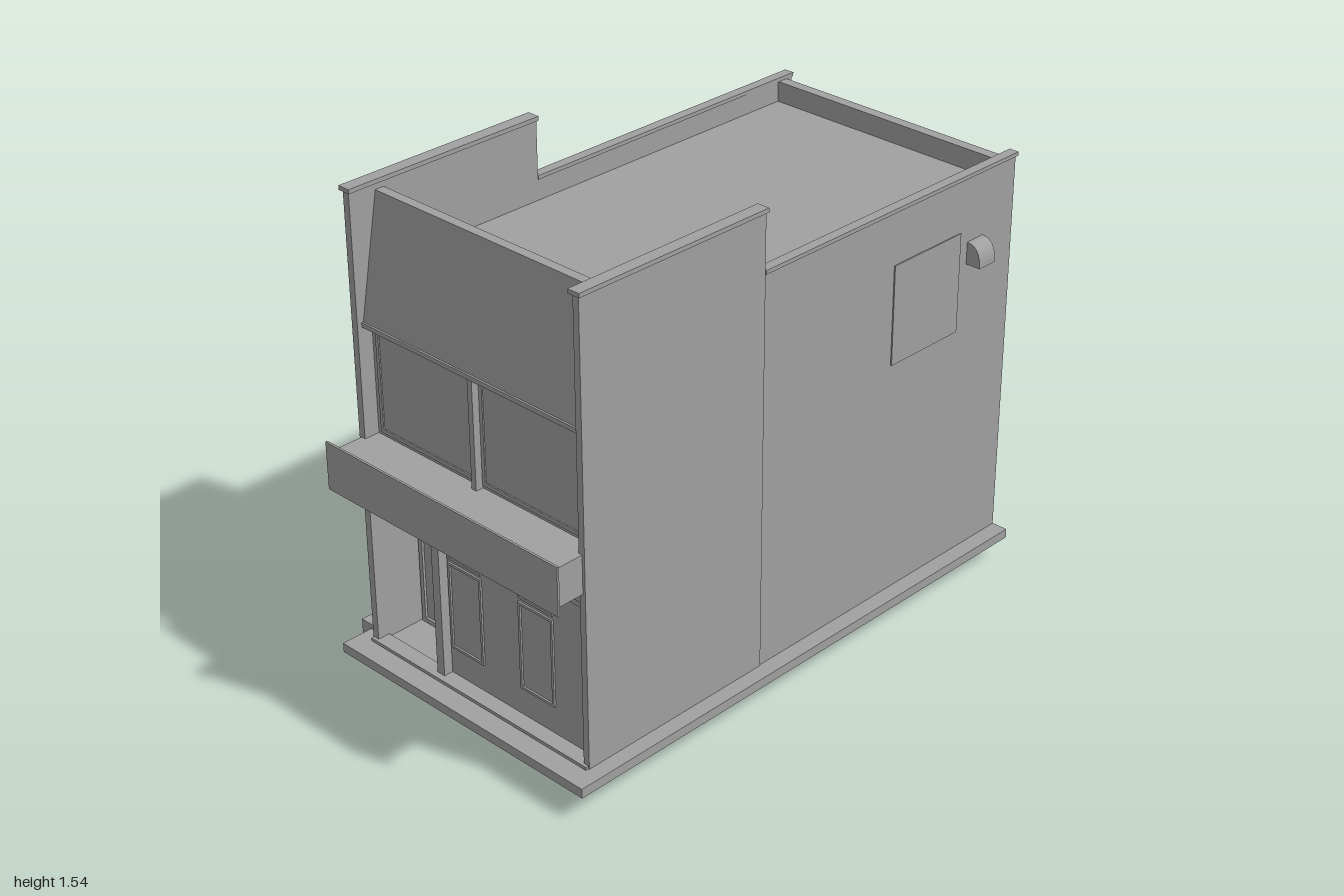
import * as THREE from 'three';

export function createModel() {
  const root = new THREE.Group();
  root.name = 'shopHouse';
  const grey = new THREE.MeshStandardMaterial({ color: 0xa0a0a0 });
  grey.name = 'concreteGrey';
  const green = new THREE.MeshStandardMaterial({ color: 0x78845f });
  green.name = 'mossGreen';

  const add = (name, geo, mat = grey) => {
    const m = new THREE.Mesh(geo, mat);
    m.name = name;
    root.add(m);
    return m;
  };
  // box given by its extents
  const box = (name, x0, x1, y0, y1, z0, z1, mat = grey) => {
    const m = add(name, new THREE.BoxGeometry(x1 - x0, y1 - y0, z1 - z0), mat);
    m.position.set((x0 + x1) / 2, (y0 + y1) / 2, (z0 + z1) / 2);
    return m;
  };
  // (z, y) profile swept from x0 to x1
  const sweepX = (name, pts, x0, x1) => {
    const shape = new THREE.Shape(pts.map(p => new THREE.Vector2(p[0], p[1])));
    const m = add(name, new THREE.ExtrudeGeometry(shape, { depth: x1 - x0, bevelEnabled: false }));
    m.rotation.y = -Math.PI / 2;
    m.position.x = x1;
    return m;
  };
  // rectangular trim around an opening in the x-y plane
  const trim = (name, x0, x1, y0, y1, z, w, t) => {
    box(name, x0, x0 + w, y0, y1, z, z + t);
    box(name, x1 - w, x1, y0, y1, z, z + t);
    box(name, x0 + w, x1 - w, y1 - w, y1, z, z + t);
    box(name, x0 + w, x1 - w, y0, y0 + w, z, z + t);
  };

  // Base slab, back stoop and meter box
  box('baseSlab', -0.48, 0.51, 0.075, 0.105, -0.852, 0.965);
  box('backStoop', -0.36, -0.04, 0.078, 0.105, -1.0, -0.852);
  box('pipeBox', -0.52, -0.41, 0, 0.12, 0.65, 0.86);

  // Building core with flat roof, leaving the entry recess open
  box('core', -0.41, 0.44, 0.105, 1.28, -0.81, 0.72);
  box('upperFrontBlock', -0.41, 0.44, 0.61, 1.13, 0.72, 0.84);
  box('shopFrontBlock', -0.15, 0.44, 0.105, 0.61, 0.72, 0.85);

  // Side walls: low at the rear, higher at the front, each with coping
  for (const [side, a, b, ca, cb] of [['left', 0.44, 0.458, 0.43, 0.466], ['right', -0.43, -0.41, -0.442, -0.405]]) {
    const out = side === 'left' ? 0.003 : 0;
    const outR = side === 'left' ? 0 : 0.003;
    box(side + 'RearWall', a, b, 0.105, 1.345, -0.85, 0.22);
    box(side + 'FrontWall', a - outR, b + out, 0.105, 1.525, 0.215, 0.89);
    box(side + 'RearCoping', ca + 0.002, cb - 0.002, 1.345, 1.357, -0.855, 0.215);
    box(side + 'FrontCoping', ca - 0.002, cb + 0.002, 1.525, 1.538, 0.212, 0.895);
  }

  // Sloped front parapet
  sweepX('slopedParapet', [[0.87, 1.13], [0.80, 1.505], [0.77, 1.505], [0.77, 1.13]], -0.41, 0.44);

  // Front upper windows
  box('upperHeadBeam', -0.41, 0.44, 1.122, 1.136, 0.82, 0.875);
  box('upperMullion', 0.002, 0.02, 0.78, 1.125, 0.84, 0.865);
  box('upperSill', -0.41, 0.44, 0.62, 0.66, 0.72, 0.88);
  for (const [x0, x1] of [[-0.395, 0.0], [0.022, 0.425]]) trim('upperWindowFrame', x0, x1, 0.79, 1.11, 0.84, 0.012, 0.004);

  // Sign box with wider front board
  box('signBox', -0.425, 0.452, 0.66, 0.78, 0.84, 0.993);
  box('signBoard', -0.445, 0.475, 0.652, 0.803, 0.993, 1.0);

  // Shop front
  box('transomBeam', -0.41, 0.44, 0.6, 0.615, 0.84, 0.875);
  box('transomPanel', -0.41, 0.44, 0.61, 0.66, 0.84, 0.87);
  box('entryPost', -0.165, -0.135, 0.105, 0.61, 0.84, 0.88);
  box('frontSill', -0.43, 0.458, 0.105, 0.115, 0.85, 0.9);
  for (const x of [-0.128, 0.157]) {
    trim('shopWindowFrame', x, x + 0.135, 0.205, 0.488, 0.85, 0.008, 0.006);
    trim('shopTransomFrame', x, x + 0.135, 0.5, 0.597, 0.85, 0.008, 0.006);
  }
  // Entry door at the back of the recess
  trim('entryDoorFrame', -0.405, -0.17, 0.105, 0.6, 0.72, 0.015, 0.008);
  box('entryDoorCloser', -0.38, -0.2, 0.585, 0.594, 0.72, 0.74);
  box('entryDoorHandle', -0.327, -0.313, 0.255, 0.315, 0.72, 0.74);

  // Back wall: painted face, parapet and floor band
  box('backPaint', -0.41, 0.44, 0.105, 1.30, -0.82, -0.81, green);
  box('backParapet', -0.41, 0.44, 1.28, 1.345, -0.825, -0.79);
  box('backBand', -0.41, 0.44, 0.67, 0.695, -0.845, -0.82);

  // Back windows with hoods
  box('backUpperWindow', 0.07, 0.36, 0.87, 1.11, -0.826, -0.82);
  box('backUpperHood', 0.04, 0.42, 1.1, 1.13, -0.875, -0.82);
  box('backLowerWindow', -0.08, 0.28, 0.3, 0.56, -0.826, -0.82);
  box('backLowerHood', -0.1, 0.33, 0.558, 0.585, -0.86, -0.82);
  // Projecting window box with slanted underside
  sweepX('backWindowBox', [[-0.82, 0.87], [-0.82, 1.13], [-0.88, 1.13], [-0.89, 1.115], [-0.89, 0.905], [-0.875, 0.885]], -0.32, 0.01);

  // Back door, side panel, lamp and vent box
  box('backDoorPanel', -0.41, -0.09, 0.105, 0.56, -0.826, -0.82);
  trim('backDoorFrame', -0.31, -0.1, 0.105, 0.54, -0.834, 0.012, 0.008);
  box('backDoor', -0.298, -0.112, 0.117, 0.528, -0.83, -0.826);
  const knob = add('backDoorKnob', new THREE.SphereGeometry(0.01, 12, 8));
  knob.position.set(-0.275, 0.31, -0.84);
  box('backLamp', -0.31, -0.2, 0.635, 0.652, -0.855, -0.82);
  box('backVentBox', 0.35, 0.4, 0.38, 0.45, -0.86, -0.82);

  // Side window plates
  box('leftSideWindow', 0.458, 0.462, 0.865, 1.18, -0.61, -0.32);
  box('rightRearWindow', -0.435, -0.43, 0.86, 1.12, -0.59, -0.285);
  box('rightFrontWindow', -0.438, -0.433, 0.8, 1.06, 0.335, 0.64);
  box('rightWallLamp', -0.455, -0.43, 1.0, 1.03, 0.3, 0.33);

  // Quarter-round vent hood on the left wall
  const hood = new THREE.Shape();
  hood.moveTo(0.458, 1.07);
  hood.lineTo(0.507, 1.07);
  hood.quadraticCurveTo(0.507, 1.14, 0.458, 1.14);
  add('ventHood', new THREE.ExtrudeGeometry(hood, { depth: 0.07, bevelEnabled: false, curveSegments: 8 })).position.z = -0.715;

  // Rectangular duct on the right wall, curved back into the wall at both ends
  const duct = new THREE.Shape();
  duct.moveTo(-0.43, 0.98);
  duct.lineTo(-0.45, 0.98);
  duct.quadraticCurveTo(-0.497, 0.98, -0.497, 0.93);
  duct.lineTo(-0.497, 0.51);
  duct.quadraticCurveTo(-0.497, 0.46, -0.45, 0.46);
  duct.lineTo(-0.43, 0.46);
  duct.lineTo(-0.43, 0.495);
  duct.quadraticCurveTo(-0.46, 0.495, -0.46, 0.52);
  duct.lineTo(-0.46, 0.92);
  duct.quadraticCurveTo(-0.46, 0.945, -0.43, 0.945);
  add('duct', new THREE.ExtrudeGeometry(duct, { depth: 0.07, bevelEnabled: false, curveSegments: 8 })).position.z = -0.29;

  // Drain pipe: out of the wall, along it, then down into the box
  const v = (x, y, z) => new THREE.Vector3(x, y, z);
  const path = new THREE.CurvePath();
  path.add(new THREE.QuadraticBezierCurve3(v(-0.425, 0.57, -0.335), v(-0.48, 0.57, -0.335), v(-0.48, 0.57, -0.28)));
  path.add(new THREE.LineCurve3(v(-0.48, 0.57, -0.28), v(-0.48, 0.57, 0.75)));
  path.add(new THREE.QuadraticBezierCurve3(v(-0.48, 0.57, 0.75), v(-0.48, 0.57, 0.79), v(-0.48, 0.53, 0.79)));
  path.add(new THREE.LineCurve3(v(-0.48, 0.53, 0.79), v(-0.48, 0.11, 0.79)));
  add('drainPipe', new THREE.TubeGeometry(path, 120, 0.013, 10));
  for (const z of [-0.05, 0.21, 0.5]) {
    const c = add('pipeCollar', new THREE.CylinderGeometry(0.017, 0.017, 0.02, 12));
    c.rotation.x = Math.PI / 2;
    c.position.set(-0.48, 0.57, z);
    box('pipeBracket', -0.48, -0.43, 0.565, 0.575, z - 0.005, z + 0.005);
  }
  return root;
}
